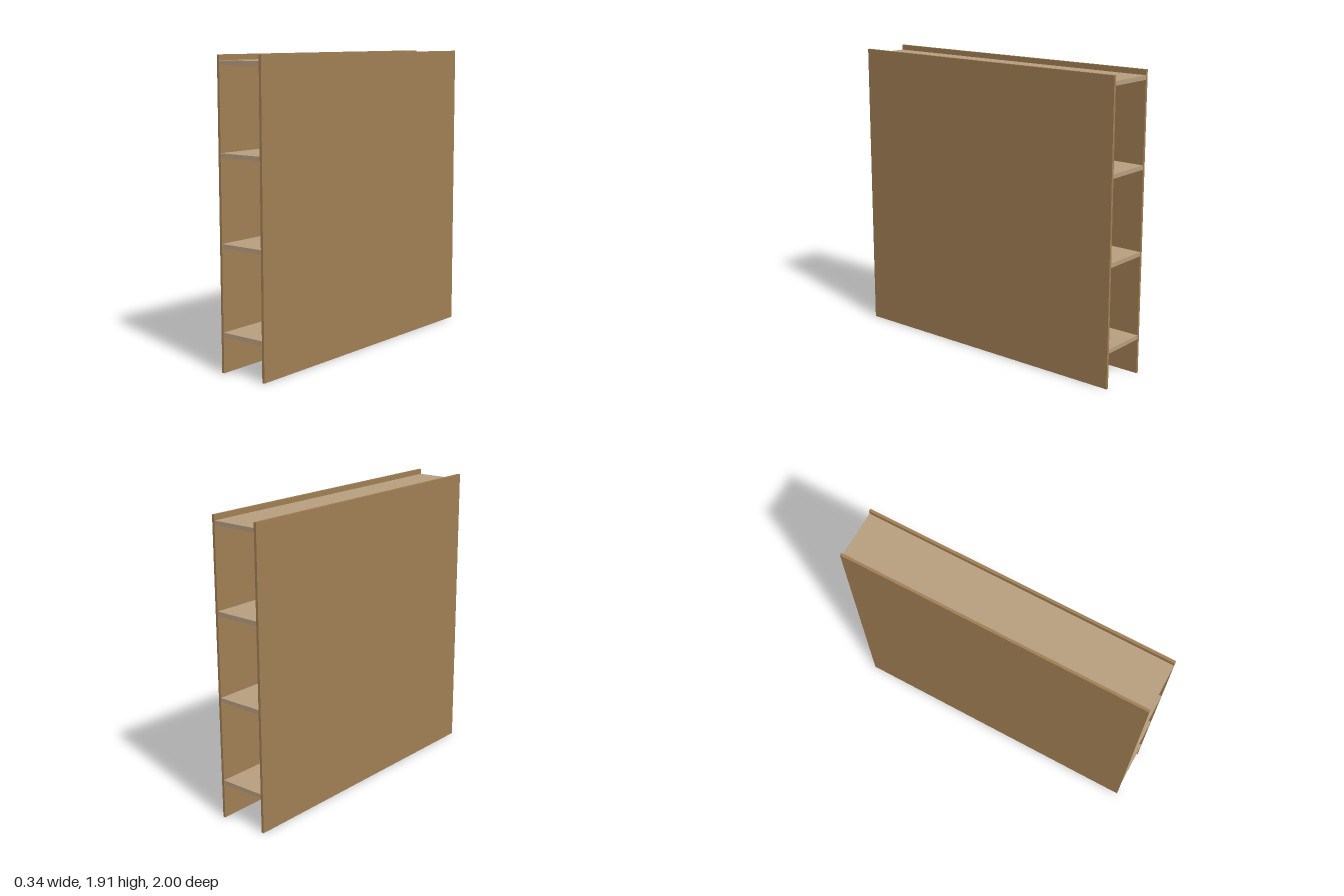
import * as THREE from 'three';

const HEIGHT = 1.906, DEPTH = 2, OUTER = 0.172, PANEL = 0.017, SHELF = 0.027;

function board(name, w, h, d, x, y, material) {
  const mesh = new THREE.Mesh(new THREE.BoxGeometry(w, h, d), material);
  mesh.name = name;
  mesh.position.set(x, y, 0);
  return mesh;
}

export function createModel() {
  const group = new THREE.Group();
  group.name = 'shelfUnit';
  const panelWood = new THREE.MeshStandardMaterial({ color: 0xa27f55 });
  const shelfWood = new THREE.MeshStandardMaterial({ color: 0xb89f7f });

  // Two full-height side panels
  for (const [name, side] of [['leftPanel', 1], ['rightPanel', -1]]) {
    group.add(board(name, PANEL, HEIGHT, DEPTH, side * (OUTER - PANEL / 2), HEIGHT / 2, panelWood));
  }

  // Four evenly spaced shelves between the panels
  const inner = 2 * (OUTER - PANEL);
  for (let i = 0; i < 4; i++) {
    group.add(board(`shelf${i + 1}`, inner, SHELF, DEPTH, 0, 0.239 + i * 0.54, shelfWood));
  }
  return group;
}
